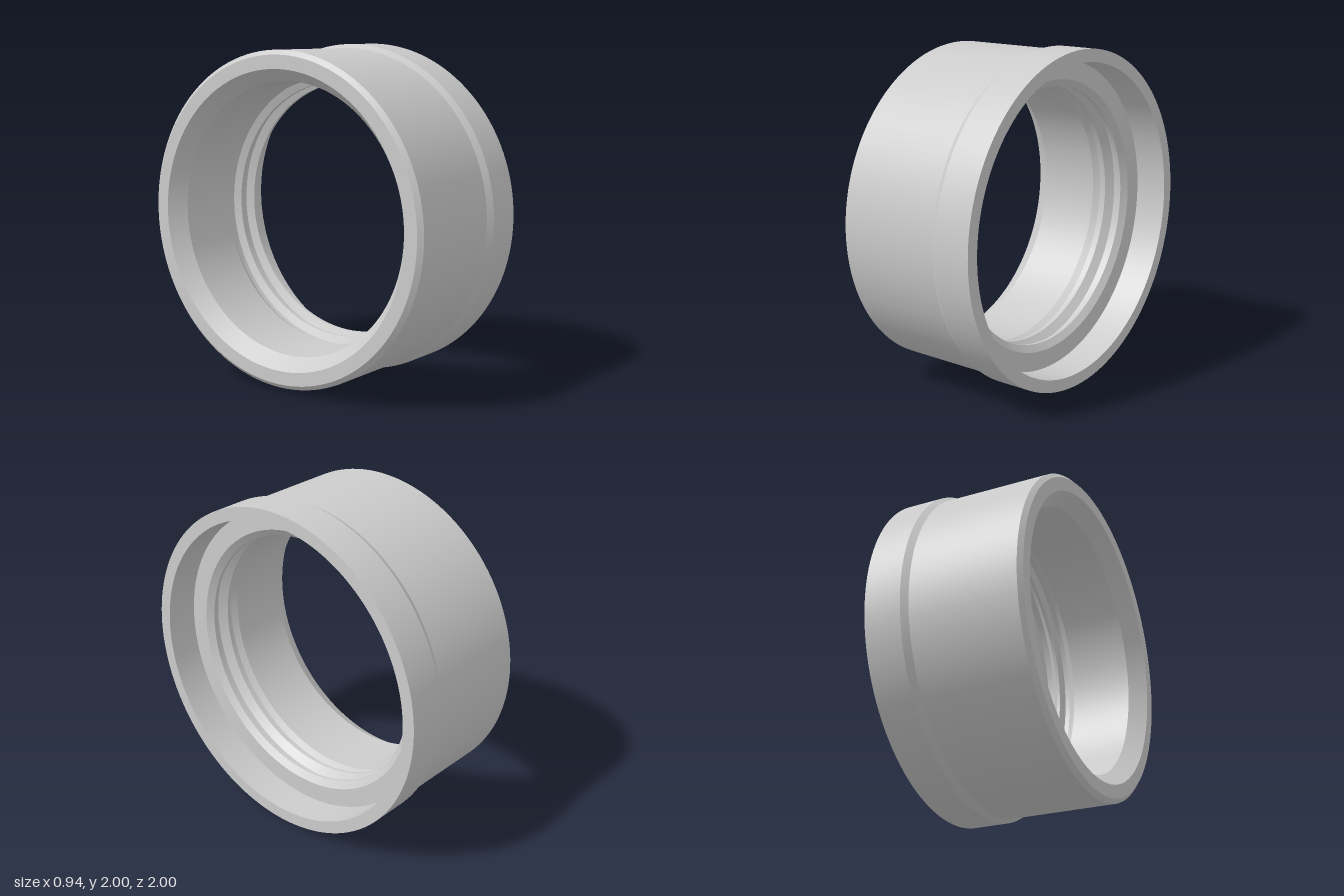
import * as THREE from 'three';
import { toCreasedNormals } from 'three/addons/utils/BufferGeometryUtils.js';

const SEGMENTS = 128;

// Profile points are [radius, position along the axis].
const outerWall = [
  [0.87, -0.47], [0.95, -0.47], [0.977, -0.445], // end face and chamfer
  [0.977, 0.205], [1, 0.245], [1, 0.47],         // body, shoulder, collar
  [0.925, 0.47],                                 // collar rim
];
const socket = [[0.925, 0.47], [0.925, 0.27], [0.81, 0.27]];
const sealRidges = [
  [0.81, 0.27], [0.77, 0.24], [0.77, 0.22],      // first ridge
  [0.82, 0.2], [0.82, 0.16], [0.775, 0.12],      // groove, second ridge
  [0.775, 0.1], [0.82, 0.08], [0.82, 0.05],      // second groove
  [0.8, 0.01],
];
const bore = [[0.8, 0.01], [0.8, -0.37], [0.87, -0.47]];

function revolve(name, profile, material) {
  const points = profile.map(([r, t]) => new THREE.Vector2(r, t));
  const lathe = new THREE.LatheGeometry(points, SEGMENTS);
  const mesh = new THREE.Mesh(toCreasedNormals(lathe, 0.3), material);
  mesh.name = name;
  return mesh;
}

export function createModel() {
  const material = new THREE.MeshStandardMaterial({ color: 0xcccccc });
  const sleeve = new THREE.Group();
  sleeve.name = 'sleeve';
  sleeve.add(
    revolve('outerWall', outerWall, material),
    revolve('socket', socket, material),
    revolve('sealRidges', sealRidges, material),
    revolve('bore', bore, material),
  );
  // Lay the axis along x and rest the collar on the floor
  sleeve.rotation.z = -Math.PI / 2;
  sleeve.position.y = 1;

  const model = new THREE.Group();
  model.name = 'pipeCoupling';
  model.add(sleeve);
  return model;
}
